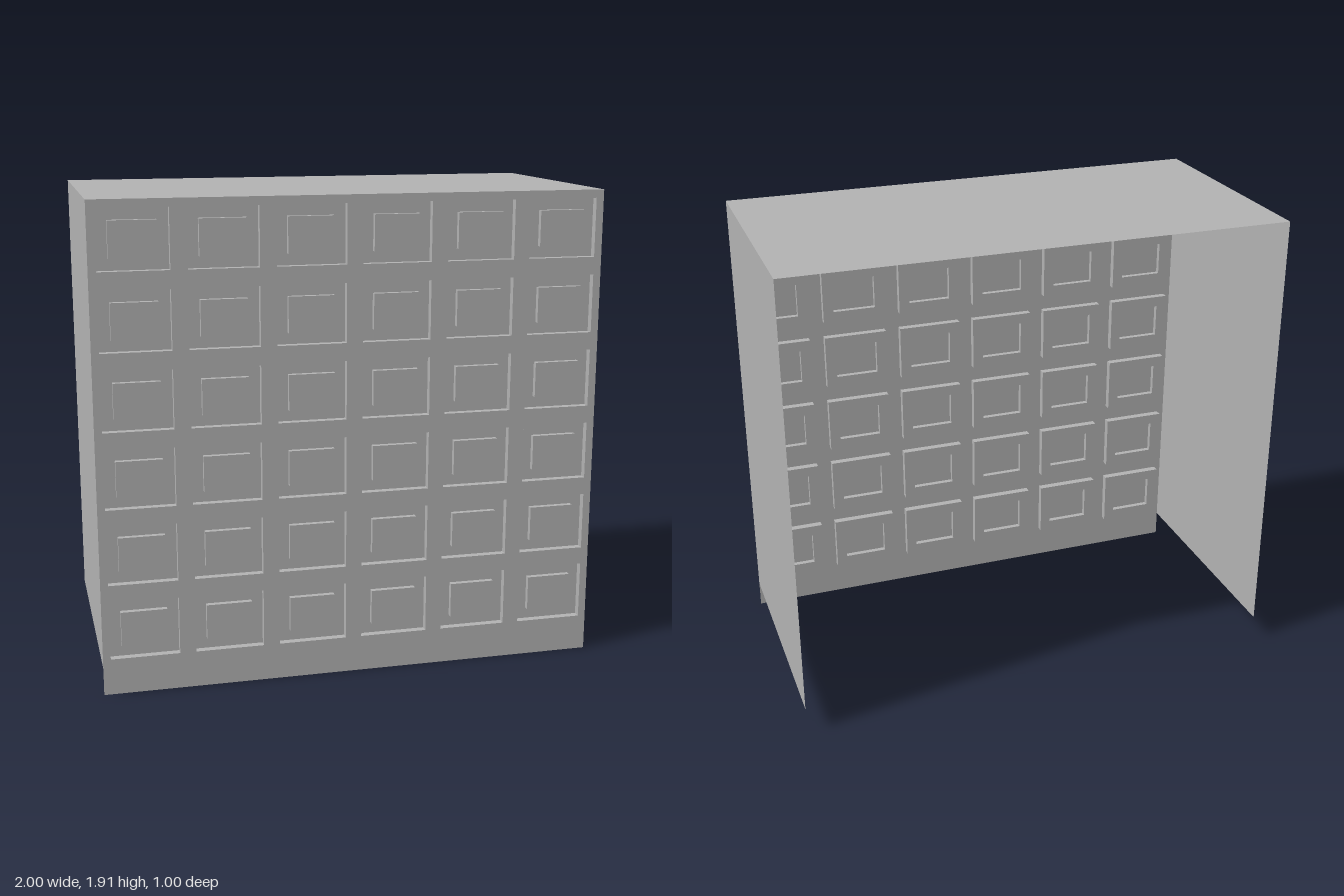
import * as THREE from 'three';

const W = 2, TOP = 1.91, SKIRT = 0.11, FRONT = 0.5;
const PW = 0.27, PH = 0.23;            // size of each pressed panel
const RECESS = 0.03, RAISE = 0.022, BORDER = 0.045;

// Pressed panel: recess wall, flat border, then a raised centre field
function pressedPanelGeometry() {
  const ring = (inset, z) => {
    const x = PW / 2 - inset, y = PH / 2 - inset;
    return [[-x, -y, z], [x, -y, z], [x, y, z], [-x, y, z]];
  };
  const rings = [
    ring(0, 0), ring(0, -RECESS), ring(BORDER, -RECESS), ring(BORDER, RAISE - RECESS),
  ];
  const pos = [];
  const quad = (a, b, c, d) => pos.push(...a, ...b, ...c, ...a, ...c, ...d);
  for (let r = 0; r < rings.length - 1; r++) {
    for (let i = 0; i < 4; i++) {
      const j = (i + 1) % 4;
      quad(rings[r][i], rings[r][j], rings[r + 1][j], rings[r + 1][i]);
    }
  }
  quad(...rings[rings.length - 1]);
  const geo = new THREE.BufferGeometry();
  geo.setAttribute('position', new THREE.Float32BufferAttribute(pos, 3));
  geo.computeVertexNormals();
  return geo;
}

function rectangle(path, x0, y0, x1, y1) {
  path.moveTo(x0, y0);
  path.lineTo(x1, y0);
  path.lineTo(x1, y1);
  path.lineTo(x0, y1);
  path.closePath();
  return path;
}

export function createModel() {
  const model = new THREE.Group();
  model.name = 'panelledCabinet';
  const grey = new THREE.MeshStandardMaterial({ color: 0xb2b2b2, side: THREE.DoubleSide });
  grey.name = 'plain grey';

  const add = (name, geo, x, y, z) => {
    const mesh = new THREE.Mesh(geo, grey);
    mesh.name = name;
    mesh.position.set(x, y, z);
    model.add(mesh);
    return mesh;
  };

  // Front sheet with a 6 x 6 grid of openings, each filled by a pressed panel
  const sheet = rectangle(new THREE.Shape(), -W / 2, 0, W / 2, TOP);
  const panelGeo = pressedPanelGeometry();
  for (let row = 0; row < 6; row++) {
    for (let col = 0; col < 6; col++) {
      const x = (col - 2.5) * 0.334, y = 0.26 + row * 0.3006;
      sheet.holes.push(rectangle(new THREE.Path(),
        x - PW / 2, y - PH / 2, x + PW / 2, y + PH / 2));
      add('pressedPanel', panelGeo, x, y, FRONT);
    }
  }
  add('frontSheet', new THREE.ShapeGeometry(sheet), 0, 0, FRONT);

  // Side sheets stop short of the floor; back and underside are open
  const sideGeo = new THREE.PlaneGeometry(2 * FRONT, TOP - SKIRT);
  for (const s of [-1, 1]) {
    const side = add(s > 0 ? 'leftSide' : 'rightSide', sideGeo, s * W / 2, (TOP + SKIRT) / 2, 0);
    side.rotation.y = s * Math.PI / 2;
  }

  // Top sheet
  add('topSheet', new THREE.PlaneGeometry(W, 2 * FRONT), 0, TOP, 0).rotation.x = -Math.PI / 2;

  return model;
}
